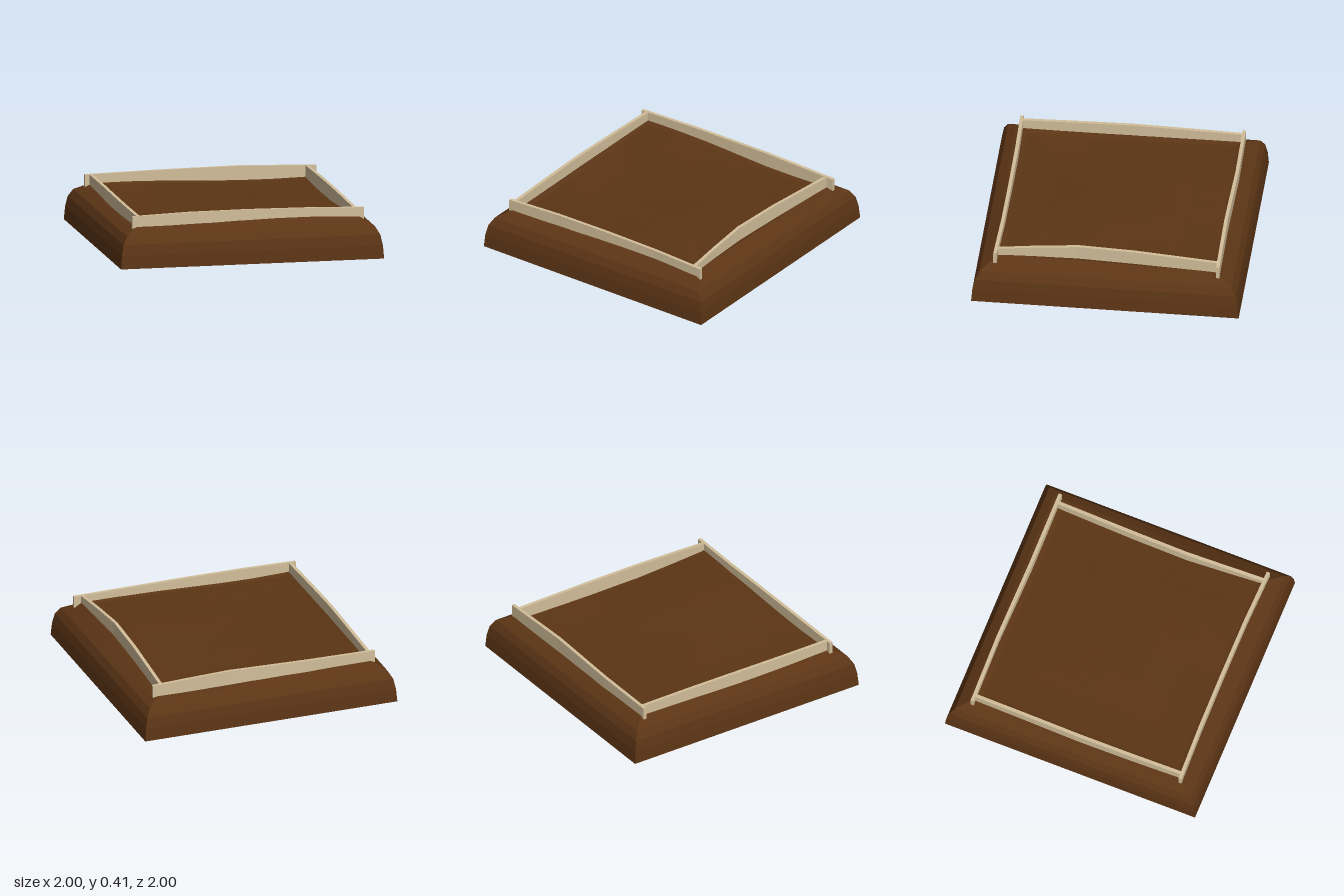
import * as THREE from 'three';

const soil = new THREE.MeshStandardMaterial({ color: 0x5c3515, flatShading: true });
const wood = new THREE.MeshStandardMaterial({ color: 0xd2be9a, flatShading: true });

// Gentle unevenness of the soil surface
const ground = (x, z) => 0.298 + 0.01 * z + 0.015 * Math.sin(2.9 * x + 0.2) * Math.cos(1.9 * z - 1);

// Square rings from the rim to the centre: [half width, height, share of unevenness]
const RINGS = [
  [1, 0, 0], [0.992, 0.1, 0], [0.976, 0.178, 0], [0.942, 0.237, 0], [0.88, 0.272, 0.25],
  [0.82, 0.297, 1], [0.78, 0.288, 1], [0.52, 0.285, 1.2], [0.26, 0.288, 1.2],
];

function buildMound() {
  const SEG = 6, N = SEG * 4;
  const pos = [], idx = [];
  const corners = [[-1, 1], [1, 1], [1, -1], [-1, -1]];
  for (const [h, y, share] of RINGS) {
    for (let i = 0; i < N; i++) {
      const side = Math.floor(i / SEG), t = (i % SEG) / SEG;
      const a = corners[side], b = corners[(side + 1) % 4];
      const x = h * (a[0] + (b[0] - a[0]) * t), z = h * (a[1] + (b[1] - a[1]) * t);
      pos.push(x, y + share * (ground(x, z) - 0.298), z);
    }
  }
  for (let r = 0; r < RINGS.length - 1; r++) {
    for (let i = 0; i < N; i++) {
      const a = r * N + i, b = r * N + (i + 1) % N;
      idx.push(a, b, b + N, a, b + N, a + N);
    }
  }
  // Close the top and the underside with fans
  const top = pos.length / 3;
  pos.push(0, 0.288, 0, 0, 0, 0);
  const last = (RINGS.length - 1) * N;
  for (let i = 0; i < N; i++) {
    const j = (i + 1) % N;
    idx.push(last + i, last + j, top, j, i, top + 1);
  }
  const g = new THREE.BufferGeometry();
  g.setAttribute('position', new THREE.Float32BufferAttribute(pos, 3));
  g.setIndex(idx);
  g.computeVertexNormals();
  const mesh = new THREE.Mesh(g, soil);
  mesh.name = 'soilMound';
  return mesh;
}

// Warped board; each key is [distance along, sideways offset, top height]
function buildPlank(name, keys, alongZ) {
  const n = keys.length - 1;
  const g = new THREE.BoxGeometry(1, 1, 0.026, n, 1, 1);
  const p = g.attributes.position;
  for (let i = 0; i < p.count; i++) {
    const k = Math.round((p.getX(i) + 0.5) * n);
    const [along, offset, top] = keys[k];
    const y = p.getY(i) > 0 ? top : (k === 0 || k === n ? 0.268 : 0.255);
    const w = offset + p.getZ(i);
    if (alongZ) p.setXYZ(i, w, y, -along);
    else p.setXYZ(i, along, y, w);
  }
  g.computeVertexNormals();
  const mesh = new THREE.Mesh(g, wood);
  mesh.name = name;
  return mesh;
}

export function createModel() {
  const model = new THREE.Group();
  model.name = 'gardenBed';
  model.add(
    buildMound(),
    buildPlank('frontPlank', [[-0.88, 0.832, 0.365], [-0.45, 0.822, 0.378], [0, 0.82, 0.38], [0.45, 0.822, 0.375], [0.88, 0.835, 0.365]]),
    buildPlank('backPlank', [[-0.88, -0.83, 0.365], [-0.35, -0.838, 0.375], [0.27, -0.826, 0.385], [0.6, -0.828, 0.375], [0.88, -0.83, 0.365]]),
    // Side boards list distance towards the back
    buildPlank('leftPlank', [[-0.825, 0.812, 0.365], [-0.55, 0.795, 0.386], [-0.22, 0.778, 0.405], [0.2, 0.787, 0.396], [0.825, 0.812, 0.365]], true),
    buildPlank('rightPlank', [[-0.825, -0.834, 0.365], [-0.4, -0.842, 0.37], [0, -0.845, 0.375], [0.4, -0.838, 0.372], [0.825, -0.832, 0.365]], true),
  );
  return model;
}
